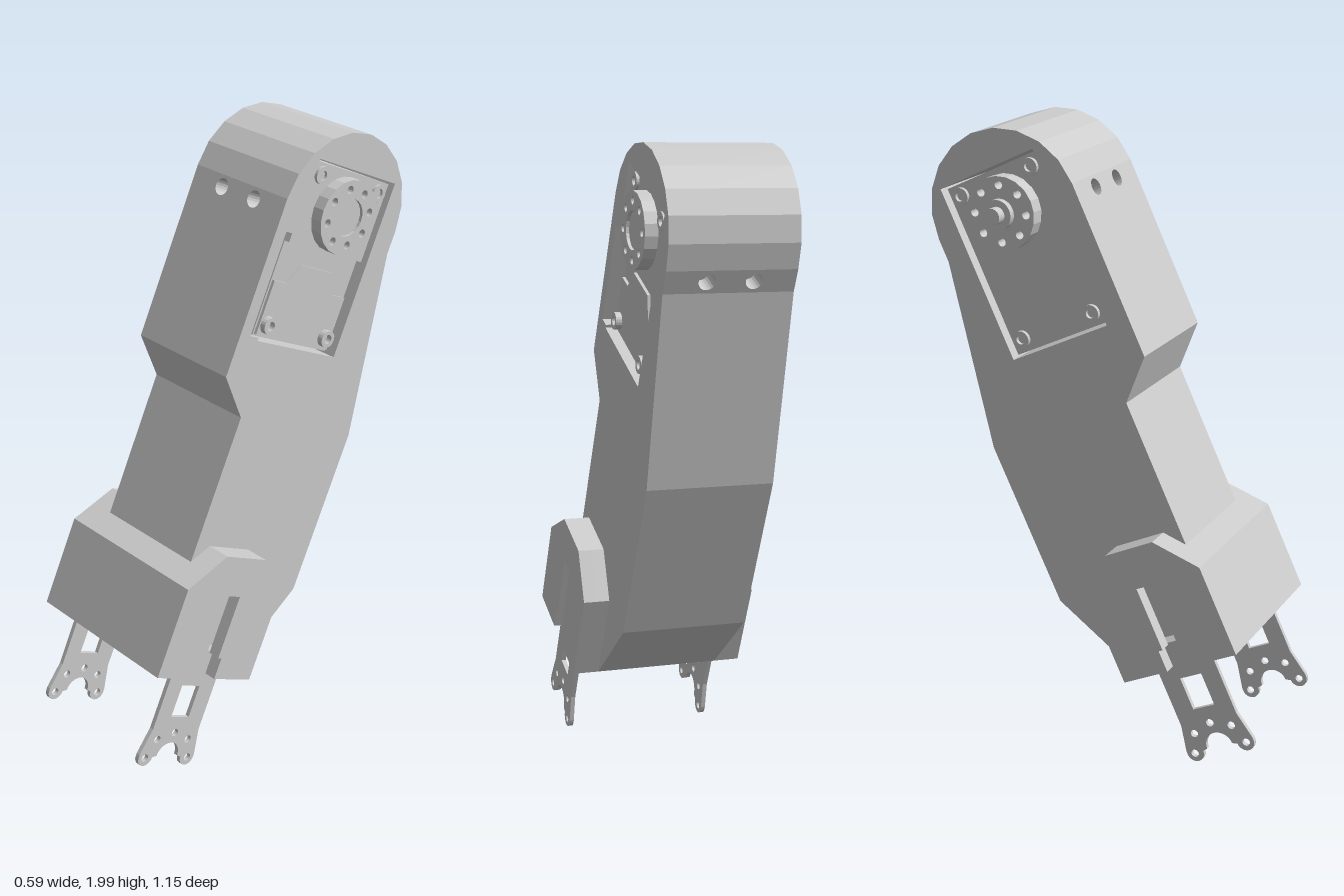
import * as THREE from 'three';

const mat = new THREE.MeshStandardMaterial({ color: 0xcccccc });

function add(parent, name, geo) {
  const m = new THREE.Mesh(geo, mat);
  m.name = name;
  parent.add(m);
  return m;
}

const poly = (pts) => new THREE.Shape(pts.map(([x, y]) => new THREE.Vector2(x, y)));
const rect = (x0, y0, x1, y1) => poly([[x0, y0], [x1, y0], [x1, y1], [x0, y1]]);

function drill(shape, x, y, r) {
  const p = new THREE.Path();
  p.absarc(x, y, r, 0, Math.PI * 2, true);
  shape.holes.push(p);
  return shape;
}

function extrude(shape, depth) {
  return new THREE.ExtrudeGeometry(shape, { depth, bevelEnabled: false, curveSegments: 10 });
}

// side profile (s = towards the back, v = up) swept from x0 to x1
function sweep(shape, x0, x1) {
  return extrude(shape, x1 - x0).rotateY(Math.PI / 2).translate(x0, 0, 0);
}

// cylinder lying along x
function rod(r, x0, x1, s = 0, v = 0, seg = 32) {
  return new THREE.CylinderGeometry(r, r, Math.abs(x1 - x0), seg)
    .rotateZ(Math.PI / 2).translate((x0 + x1) / 2, v, -s);
}

// ring of small holes around an open centre
function hubShape(r, inner) {
  const s = new THREE.Shape();
  s.absarc(0, 0, r, 0, Math.PI * 2, false);
  drill(s, 0, 0, inner);
  for (let i = 0; i < 8; i++) {
    const a = (i + 0.5) * Math.PI / 4;
    drill(s, 0.09 * Math.cos(a), 0.09 * Math.sin(a), 0.013);
  }
  return s;
}

const R = 0.262, W = 0.2075;

// arm outline with shallow notches that the drilled plates fill
function armShape() {
  const pts = [];
  for (let i = 0; i <= 10; i++) {
    const a = Math.PI * i / 10;
    pts.push([R * Math.cos(a), R * Math.sin(a)]);
  }
  pts.push([-0.2, 0], [-0.2, -0.075], [-R, -0.075],
    [-R, -0.57], [-0.139, -0.687], [-0.139, -1.43], [0.17, -1.43], [0.17, -1.535],
    [0.222, -1.535], [0.385, -1.238], [0.386, -0.685], [R, -0.075], [0.2, -0.075], [0.2, 0]);
  return poly(pts);
}

function buildArm(parent) {
  const g = new THREE.Group();
  g.name = 'arm';
  const inner = armShape();
  inner.holes.push(rect(-0.182, -0.44, 0.182, 0.143));
  add(g, 'armBody', sweep(inner, -W, 0.1));
  // right-hand layer has a cable slot beside the motor pocket
  const outer = armShape();
  outer.holes.push(poly([[-0.182, 0.143], [-0.182, -0.095], [-0.219, -0.095], [-0.219, -0.43],
    [-0.182, -0.43], [-0.182, -0.44], [0.182, -0.44], [0.182, 0.143]]));
  add(g, 'armBodySlotted', sweep(outer, 0.1, W));
  // front and back plates with two screw holes each
  for (const z of [0.2, -R]) {
    const p = rect(-W, -0.075, W, 0);
    drill(drill(p, -0.074, -0.037, 0.027), 0.074, -0.037, 0.027);
    add(g, 'screwHolePlate', extrude(p, R - 0.2).translate(0, 0, z));
  }
  parent.add(g);
}

function buildMotor(parent) {
  const g = new THREE.Group();
  g.name = 'motor';
  add(g, 'motorCase', sweep(rect(-0.174, -0.432, 0.174, 0.135), -0.182, 0.17));
  // raised cover panels
  add(g, 'upperCover', sweep(rect(-0.174, -0.125, 0.174, 0.135), 0.17, 0.19));
  const panel = [[-0.168, -0.25], [-0.11, -0.25], [-0.072, -0.183], [0.072, -0.183],
    [0.11, -0.25], [0.168, -0.25], [0.168, -0.426], [-0.168, -0.426]];
  add(g, 'lowerCover', sweep(poly(panel), 0.17, 0.18));
  // corner screws on both faces
  for (const s of [-0.136, 0.136]) for (const v of [0.098, -0.389]) {
    for (const side of [-1, 1]) {
      const c = new THREE.Shape();
      c.absarc(s, v, 0.028, 0, Math.PI * 2, false);
      drill(c, s, v, 0.015);
      add(g, 'cornerScrew', side > 0 ? sweep(c, 0.165, 0.2) : sweep(c, -0.195, -0.175));
    }
  }
  // output hub on one side, idler and stub shaft on the other
  add(g, 'outputHub', sweep(hubShape(0.12, 0.06), 0.185, 0.232));
  add(g, 'outputHubCentre', rod(0.06, 0.18, 0.222));
  add(g, 'idlerHub', sweep(hubShape(0.118, 0.046), -0.232, -0.18));
  add(g, 'shaftCollar', rod(0.048, -0.254, -0.18));
  add(g, 'stubShaft', rod(0.027, -0.287, -0.25));
  parent.add(g);
}

function fingerShape() {
  const f = new THREE.Shape();
  f.moveTo(-0.105, 0.08);
  f.lineTo(-0.105, -0.2);
  f.lineTo(-0.125, -0.29);
  f.absarc(-0.095, -0.3, 0.03, Math.PI, Math.PI * 2, false);
  f.absarc(0, -0.295, 0.047, Math.PI, 0, true);
  f.absarc(0.095, -0.3, 0.03, Math.PI, Math.PI * 2, false);
  f.lineTo(0.125, -0.29);
  f.lineTo(0.105, -0.2);
  f.lineTo(0.105, 0.08);
  f.holes.push(rect(-0.042, -0.156, 0.038, -0.045));
  for (const [s, v] of [[-0.097, -0.302], [-0.07, -0.236], [0, -0.212], [0.07, -0.236], [0.097, -0.302]])
    drill(f, s, v, 0.013);
  return f;
}

function buildWrist(parent) {
  const g = new THREE.Group();
  g.name = 'wrist';
  g.position.set(0, -1.535, -0.01);
  const top = [[0.212, 0], [0.212, 0.3], [0.09, 0.42], [-0.09, 0.42], [-0.212, 0.3], [-0.212, 0]];
  // core with a recess underneath
  add(g, 'wristBlock', sweep(poly([...top, [-0.16, 0], [-0.16, 0.1], [0.16, 0.1], [0.16, 0]]), -0.25, 0.25));
  // slotted cheeks
  const slot = [[-0.045, 0], [-0.045, 0.073], [-0.03, 0.073], [-0.03, 0.288],
    [0.03, 0.288], [0.03, 0.073], [0.045, 0.073], [0.045, 0]];
  for (const x of [-0.2935, 0.25])
    add(g, 'wristCheek', sweep(poly([...top, ...slot]), x, x + 0.0435));
  // U-shaped bracket: perforated base, two lips and two fingers
  const base = rect(-0.236, -0.145, 0.236, 0.145);
  drill(base, 0, 0, 0.042);
  for (let i = 0; i < 8; i++) {
    const a = (i + 0.5) * Math.PI / 4;
    drill(base, 0.085 * Math.cos(a), 0.085 * Math.sin(a), 0.013);
  }
  for (const x of [-0.15, 0.15]) drill(base, x, 0, 0.015);
  add(g, 'bracketBase', extrude(base, 0.014).rotateX(Math.PI / 2).translate(0, 0.06, 0));
  add(g, 'bracketScrew', new THREE.CylinderGeometry(0.034, 0.034, 0.06, 24).translate(0, 0.07, 0));
  const lip = poly([[-0.225, 0.06], [-0.225, 0], [-0.205, -0.018], [0.205, -0.018], [0.225, 0], [0.225, 0.06]]);
  for (const z of [-0.148, 0.134])
    add(g, 'bracketLip', extrude(lip, 0.014).translate(0, 0, z));
  for (const x of [-0.25, 0.235])
    add(g, 'finger', sweep(fingerShape(), x, x + 0.015));
  parent.add(g);
}

export function createModel() {
  const model = new THREE.Group();
  model.name = 'robotArm';
  const tilted = new THREE.Group();
  tilted.name = 'tiltedArm';
  tilted.position.set(-0.0025, 1.738, -0.312);
  tilted.rotation.x = -0.44;
  buildArm(tilted);
  buildMotor(tilted);
  buildWrist(tilted);
  model.add(tilted);
  return model;
}
